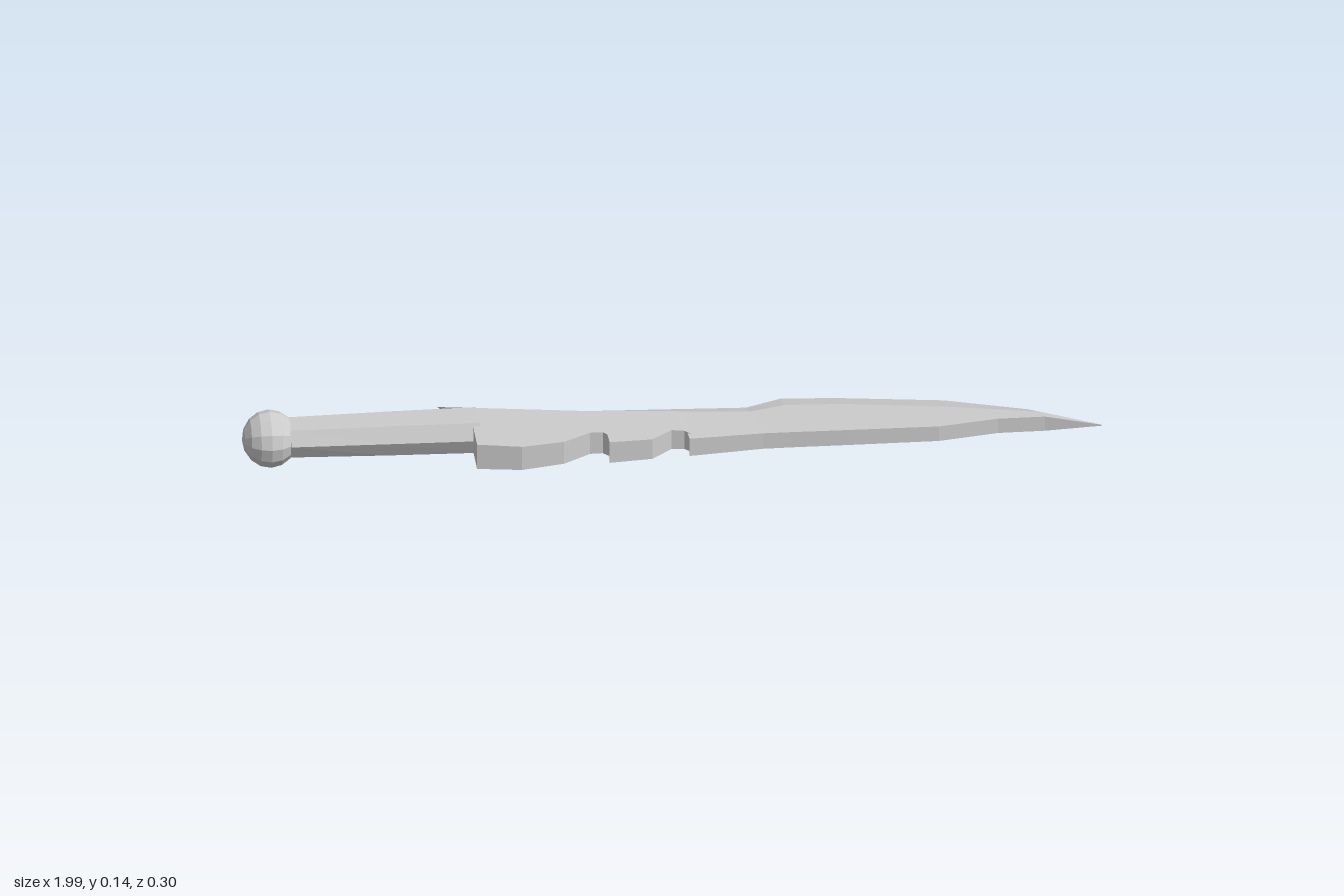
import * as THREE from 'three';

const MID = 0.068; // height of the blade's centre plane
const material = new THREE.MeshStandardMaterial({ color: 0xcccccc, flatShading: true });

// Skin a list of rings running toward +x, capping both ends.
function loft(rings) {
  const pos = [];
  const tri = (a, b, c) => pos.push(...a, ...b, ...c);
  const n = rings[0].length;
  for (let s = 0; s < rings.length - 1; s++) {
    const a = rings[s], b = rings[s + 1];
    for (let i = 0; i < n; i++) {
      const j = (i + 1) % n;
      tri(a[i], a[j], b[j]);
      tri(a[i], b[j], b[i]);
    }
  }
  // fan from the second point so the swept-back corner stays clean
  const first = rings[0], last = rings[rings.length - 1];
  for (let k = 1; k < n - 1; k++) {
    const i = (1 + k) % n, j = (2 + k) % n;
    tri(first[1], first[j], first[i]);
    tri(last[1], last[i], last[j]);
  }
  const geo = new THREE.BufferGeometry();
  geo.setAttribute('position', new THREE.Float32BufferAttribute(pos, 3));
  geo.computeVertexNormals();
  return geo;
}

function addPart(group, name, geo) {
  const mesh = new THREE.Mesh(geo, material);
  mesh.name = name;
  group.add(mesh);
  return mesh;
}

// Piecewise-linear lookup of [x, value] pairs.
function lookup(points, x) {
  for (let i = 1; i < points.length; i++) {
    const [x0, v0] = points[i - 1], [x1, v1] = points[i];
    if (x <= x1) return v0 + (v1 - v0) * Math.max(0, (x - x0) / (x1 - x0));
  }
  return points[points.length - 1][1];
}

// Blade: sharp edge at -z, ridge lines on both faces, thick notched spine at +z.
function bladeGeometry() {
  const edge = [[-0.53, -0.15], [-0.4, -0.115], [-0.265, -0.1], [-0.185, -0.07], [-0.17, -0.09],
    [0.18, -0.07], [0.265, -0.11], [0.39, -0.1], [0.64, -0.06], [0.83, 0.01], [0.99, 0.113]];
  const ridge = [[-0.465, -0.073], [-0.2, -0.035], [0.18, -0.005], [0.27, -0.035],
    [0.4, -0.025], [0.64, 0.015], [0.85, 0.065], [0.99, 0.114]];
  const half = [[-0.465, 0.031], [-0.2, 0.027], [0, 0.024], [0.06, 0.02], [0.86, 0.018], [0.99, 0.001]];
  // edge x, ridge x, spine x, spine z
  const stations = [
    [-0.53, -0.465, -0.468, 0.13], [-0.4, -0.37, -0.365, 0.15], [-0.265, -0.265, -0.265, 0.13],
    [-0.2, -0.2, -0.2, 0.085], [-0.185, -0.18, -0.17, 0.085], [-0.17, -0.165, -0.155, 0.105],
    [-0.155, -0.155, -0.16, 0.14], [-0.06, -0.06, -0.06, 0.132], [-0.01, -0.01, -0.01, 0.085],
    [0.01, 0.01, 0.02, 0.09], [0.02, 0.02, 0.032, 0.107], [0.03, 0.03, 0.027, 0.132],
    [0.18, 0.18, 0.2, 0.116], [0.265, 0.265, 0.265, 0.116], [0.39, 0.4, 0.4, 0.118],
    [0.64, 0.64, 0.61, 0.12], [0.74, 0.74, 0.75, 0.092], [0.83, 0.85, 0.86, 0.092],
    [0.99, 0.99, 0.99, 0.115],
  ];
  return loft(stations.map(([ex, rx, sx, sz]) => {
    const h = lookup(half, rx), rz = lookup(ridge, rx);
    return [
      [ex, MID, lookup(edge, ex)],
      [rx, MID + h, rz], [sx, MID + h, sz],
      [sx, MID - h, sz], [rx, MID - h, rz],
    ];
  }));
}

// Grip: six-sided bar that flares slightly toward the blade.
function gripGeometry() {
  const stations = [[-0.89, 0.034, 0.033], [-0.66, 0.037, 0.04], [-0.45, 0.038, 0.046]];
  return loft(stations.map(([x, h, front]) => [
    [x, MID, -0.077], [x, MID + h, -0.06], [x, MID + h, front - 0.018],
    [x, MID, front], [x, MID - h, front - 0.018], [x, MID - h, -0.06],
  ]));
}

export function createModel() {
  const group = new THREE.Group();
  group.name = 'shortSword';

  addPart(group, 'blade', bladeGeometry());
  addPart(group, 'grip', gripGeometry());

  // Faceted ball on the end of the grip, poles along the grip
  const pommel = addPart(group, 'pommel', new THREE.SphereGeometry(0.068, 12, 8));
  pommel.rotation.z = Math.PI / 2;
  pommel.scale.y = 0.95;
  pommel.position.set(-0.935, MID, -0.021);

  return group;
}
